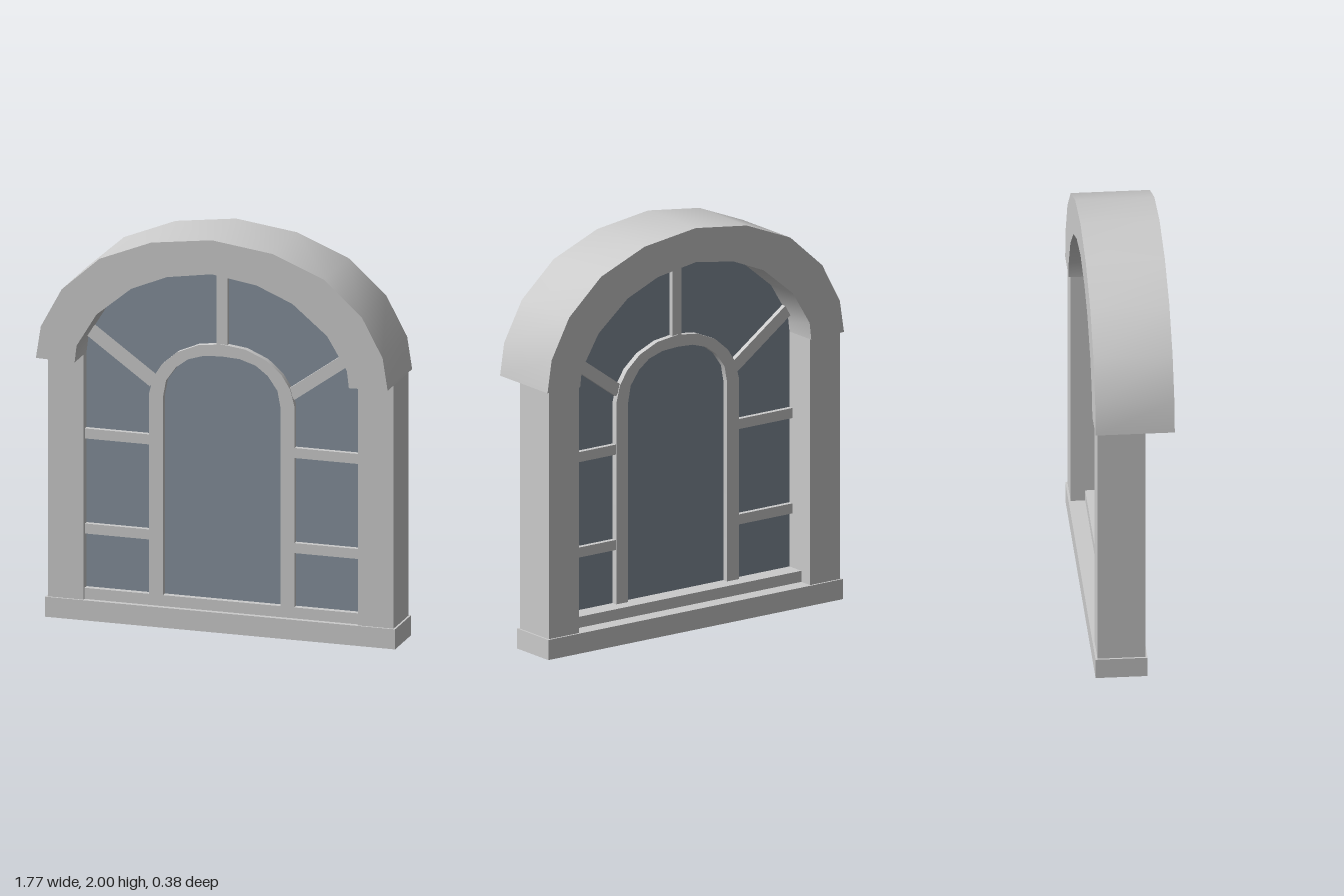
import * as THREE from 'three';
import { toCreasedNormals } from 'three/addons/utils/BufferGeometryUtils.js';

const stone = new THREE.MeshStandardMaterial({ color: 0xcccccc });
const glassMat = new THREE.MeshStandardMaterial({ color: 0x848f9b });

// Half outlines, from the right springing point up to the crown
const hoodOuter = [[0.885, 1.33], [0.86, 1.49], [0.755, 1.685], [0.565, 1.855], [0.305, 1.96], [0, 2]];
const hoodInner = [[0.69, 1.325], [0.68, 1.41], [0.58, 1.575], [0.405, 1.72], [0.225, 1.795], [0, 1.83]];
const frameOuter = [[0.365, 1.16], [0.345, 1.24], [0.3, 1.31], [0.225, 1.375], [0.12, 1.42], [0, 1.435]];
const frameInner = [[0.295, 1.15], [0.28, 1.23], [0.23, 1.3], [0.17, 1.345], [0.09, 1.37], [0, 1.375]];

// Mirrors a half outline into a full arch, running right to left
function arch(half) {
  const left = half.slice(0, -1).reverse().map(([x, y]) => [-x, y]);
  return [...half, ...left];
}

// Adds straight legs down to the given height
function withLegs(points, bottom) {
  const x = points[0][0];
  return [[x, bottom], ...points, [-x, bottom]];
}

export function createModel() {
  const model = new THREE.Group();

  function add(name, geometry, material = stone) {
    const mesh = new THREE.Mesh(geometry, material);
    mesh.name = name;
    model.add(mesh);
    return mesh;
  }

  function box(name, x0, x1, y0, y1, z0, z1) {
    const mesh = add(name, new THREE.BoxGeometry(x1 - x0, y1 - y0, z1 - z0));
    mesh.position.set((x0 + x1) / 2, (y0 + y1) / 2, (z0 + z1) / 2);
    return mesh;
  }

  function extrude(name, points, z0, z1, material) {
    const shape = new THREE.Shape(points.map(([x, y]) => new THREE.Vector2(x, y)));
    const geometry = new THREE.ExtrudeGeometry(shape, { depth: z1 - z0, bevelEnabled: false });
    geometry.translate(0, 0, z0);
    return add(name, toCreasedNormals(geometry, 0.75), material);
  }

  // Outer surround
  box('sill', -0.88, 0.88, 0, 0.1, -0.19, 0.06);
  extrude('archHood', [...arch(hoodOuter), ...arch(hoodInner).reverse()], -0.19, 0.19);

  // Glass filling the whole opening
  extrude('glass', withLegs(arch(hoodInner), 0.1), -0.015, 0.005, glassMat);

  // Bottom rail and inner arched frame
  box('bottomRail', -0.69, 0.69, 0.1, 0.155, -0.11, 0.035);
  extrude('innerFrame', [
    ...withLegs(arch(frameOuter), 0.12),
    ...withLegs(arch(frameInner), 0.12).reverse(),
  ], -0.045, 0.035);

  // Glazing bars
  box('topBar', -0.027, 0.027, 1.41, 1.835, -0.04, 0.03);
  for (const side of [-1, 1]) {
    const label = side > 0 ? 'left' : 'right';
    const span = (a, b) => (side > 0 ? [a, b] : [-b, -a]);
    box(label + 'Jamb', ...span(0.69, 0.87), 0.1, 1.335, -0.18, 0.05);
    box(label + 'LowerBar', ...span(0.35, 0.695), 0.425, 0.475, -0.04, 0.03);
    box(label + 'UpperBar', ...span(0.35, 0.695), 0.9, 0.95, -0.04, 0.03);

    const angle = Math.atan2(0.225, 0.315);
    const diagonal = box(label + 'DiagonalBar', -0.195, 0.195, -0.03, 0.03, -0.04, 0.03);
    diagonal.position.x = side * 0.505;
    diagonal.position.y = 1.328;
    diagonal.rotation.z = side * angle;
  }
  return model;
}
